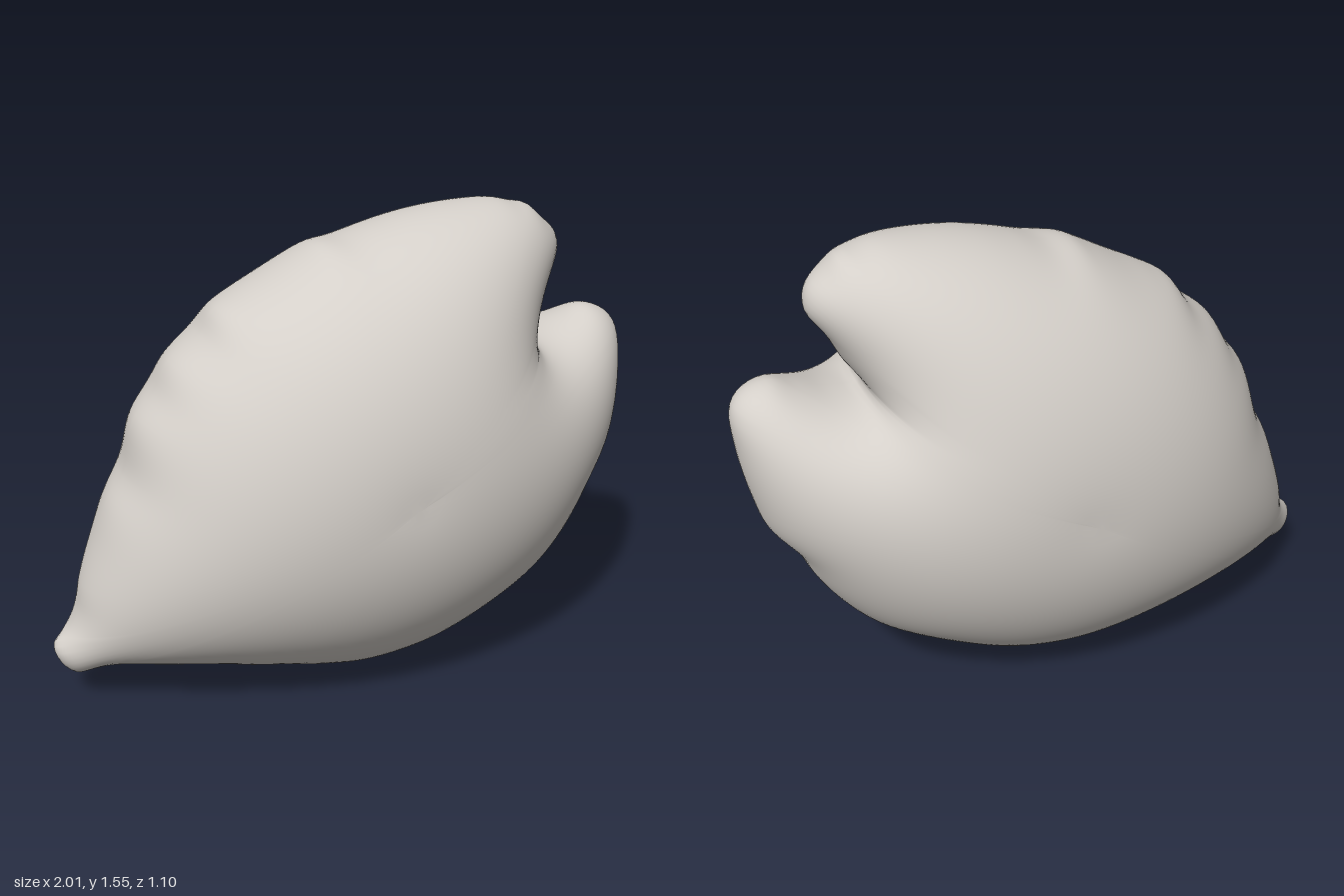
import * as THREE from 'three';
import { mergeVertices } from 'three/addons/utils/BufferGeometryUtils.js';

// Outline of the pod in the x-y plane, counter-clockwise from the right edge
const OUTLINE = [
  1, .94, 1, 1.08, .96, 1.13, .88, 1.155, .8, 1.13, .7, 1.1, .62, 1.1, .61, 1.125, .65, 1.18, .7, 1.28,
  .75, 1.36, .74, 1.43, .68, 1.485, .64, 1.52, .59, 1.53, .52, 1.545, .36, 1.54, .22, 1.52, .1, 1.49, 0, 1.46,
  -.09, 1.45, -.15, 1.42, -.26, 1.36, -.36, 1.31, -.43, 1.27, -.48, 1.2, -.58, 1.12, -.63, 1.03, -.7, .94,
  -.74, .78, -.8, .68, -.85, .55, -.9, .41, -.92, .32, -.95, .26, -1, .21, -.98, .14, -.93, .1, -.88, .115,
  -.83, .13, -.72, .12, -.6, .105, -.5, .095, -.4, .065, -.31, .06, -.22, .03, -.15, .025, -.08, .005, 0, 0,
  .1, .015, .19, .025, .3, .06, .4, .11, .58, .2, .66, .25, .75, .35, .82, .46, .87, .57, .94, .66, .97, .76,
];
const CENTRE = { x: 0.03, y: 0.74 };
const HALF_DEPTH = 0.55;
const AROUND = 300;
const RINGS = 40;

// Flat disc: a centre point and rings growing to the outline, denser near the rim
function flatDisc() {
  const outline = [];
  for (let i = 0; i < OUTLINE.length; i += 2) outline.push(new THREE.Vector3(OUTLINE[i], OUTLINE[i + 1], 0));
  const rim = new THREE.CatmullRomCurve3(outline, true, 'centripetal').getSpacedPoints(AROUND).slice(0, AROUND);
  const points = [{ ...CENTRE }], triangles = [];
  for (let i = 1; i <= RINGS; i++) {
    const s = Math.sin((i / RINGS) * Math.PI / 2);
    for (let j = 0; j < AROUND; j++) {
      points.push({ x: CENTRE.x + (rim[j].x - CENTRE.x) * s, y: CENTRE.y + (rim[j].y - CENTRE.y) * s });
      const next = (j + 1) % AROUND;
      const a = 1 + (i - 1) * AROUND + j, b = 1 + (i - 1) * AROUND + next;
      if (i === 1) triangles.push([0, a, b]);
      else triangles.push([a - AROUND, a, b], [a - AROUND, b, b - AROUND]);
    }
  }
  return { points, triangles };
}

// Swelling of a membrane fixed at the rim under even pressure
function membrane(points, triangles) {
  const links = points.map(() => new Map());
  const load = new Float64Array(points.length);
  const link = (a, b, w) => links[a].set(b, (links[a].get(b) ?? 0) + w);
  for (const t of triangles) {
    for (let k = 0; k < 3; k++) {
      const o = t[k], a = t[(k + 1) % 3], b = t[(k + 2) % 3];
      const ax = points[a].x - points[o].x, ay = points[a].y - points[o].y;
      const bx = points[b].x - points[o].x, by = points[b].y - points[o].y;
      const cross = Math.max(Math.abs(ax * by - ay * bx), 1e-9);
      const w = 0.5 * (ax * bx + ay * by) / cross;
      link(a, b, w);
      link(b, a, w);
      load[o] += cross / 6;
    }
  }
  const inner = 1 + (RINGS - 1) * AROUND;
  const neighbours = links.map((m) => [...m.keys()]);
  const weights = links.map((m) => [...m.values()]);
  const totals = weights.map((list) => list.reduce((sum, w) => sum + w, 0));
  const u = new Float64Array(points.length);
  for (let pass = 0; pass < 2500; pass++) {
    for (let i = 0; i < inner; i++) {
      let sum = load[i];
      for (let k = 0; k < neighbours[i].length; k++) sum += weights[i][k] * u[neighbours[i][k]];
      u[i] += 1.9 * (sum / totals[i] - u[i]);
    }
  }
  return u;
}

// Rounded front and back halves joined smoothly at the rim
function inflatedGeometry() {
  const { points, triangles } = flatDisc();
  const u = membrane(points, triangles);
  const peak = u.reduce((most, value) => Math.max(most, value), 0);
  const position = [], index = [];
  for (const side of [1, -1]) {
    const offset = position.length / 3;
    points.forEach((p, i) => position.push(p.x, p.y, side * HALF_DEPTH * Math.sqrt(Math.max(u[i], 0) / peak)));
    for (const [a, b, c] of triangles) {
      if (side > 0) index.push(a, b, c);
      else index.push(offset + a, offset + c, offset + b);
    }
  }
  const geometry = new THREE.BufferGeometry();
  geometry.setAttribute('position', new THREE.Float32BufferAttribute(position, 3));
  geometry.setIndex(index);
  const joined = mergeVertices(geometry, 1e-5);
  joined.computeVertexNormals();
  return joined;
}

export function createModel() {
  const group = new THREE.Group();
  group.name = 'notchedPod';
  const material = new THREE.MeshStandardMaterial({ color: 0xd4cfc9 });
  material.name = 'warm grey';
  const body = new THREE.Mesh(inflatedGeometry(), material);
  body.name = 'podBody';
  group.add(body);
  return group;
}
